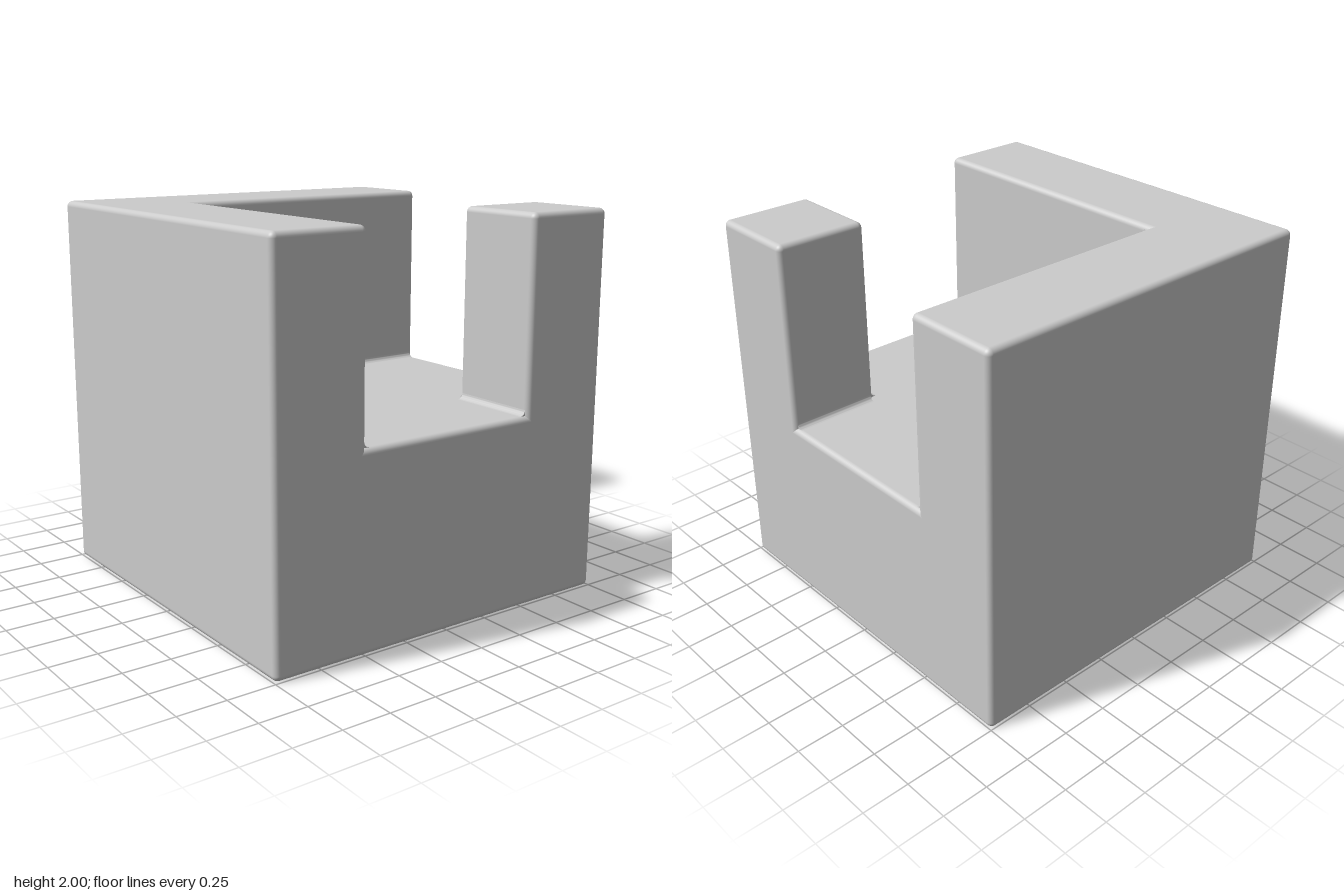
import * as THREE from 'three';
import { RoundedBoxGeometry } from 'three/addons/geometries/RoundedBoxGeometry.js';
import { toCreasedNormals } from 'three/addons/utils/BufferGeometryUtils.js';

const R = 0.03; // softening radius of every edge
const material = new THREE.MeshStandardMaterial({ color: 0xcccccc });

// Rounded block given by its lowest and highest corners
function block(name, min, max) {
  const [w, h, d] = max.map((v, i) => v - min[i]);
  const mesh = new THREE.Mesh(new RoundedBoxGeometry(w, h, d, 4, R), material);
  mesh.position.set(...max.map((v, i) => (v + min[i]) / 2));
  mesh.name = name;
  return mesh;
}

// Concave strip filling an inner edge; u and v point away from the edge, along u x v
function fillet(name, start, u, v, length) {
  const shape = new THREE.Shape();
  shape.moveTo(0, 0);
  shape.lineTo(R, 0);
  shape.absarc(R, R, R, -Math.PI / 2, -Math.PI, true);
  shape.closePath();
  const geometry = toCreasedNormals(
    new THREE.ExtrudeGeometry(shape, { depth: length, bevelEnabled: false, curveSegments: 6 }), 0.6);
  const a = new THREE.Vector3(...u), b = new THREE.Vector3(...v);
  geometry.applyMatrix4(new THREE.Matrix4().makeBasis(a, b, a.clone().cross(b)).setPosition(...start));
  const mesh = new THREE.Mesh(geometry, material);
  mesh.name = name;
  return mesh;
}

export function createModel() {
  const model = new THREE.Group();
  model.name = 'notchedCube';
  model.add(
    // Lower half, the two walls of the corner and the free-standing post
    block('base', [-1, 0, -1], [1, 1, 1]),
    block('backWall', [-1, 0, -1], [1, 2, -0.5]),
    block('sideWall', [-1, 0, -1], [-0.5, 2, 1]),
    block('cornerPost', [0.5, 0, 0.5], [1, 2, 1]),
    // Soft inner edges
    fillet('sideWallFillet', [-0.5, 1, -0.5], [1, 0, 0], [0, 1, 0], 1.48),
    fillet('backWallFillet', [-0.5, 1, -0.5], [0, 1, 0], [0, 0, 1], 1.48),
    fillet('innerCornerFillet', [-0.5, 1, -0.5], [0, 0, 1], [1, 0, 0], 0.98),
    fillet('postSideFillet', [0.5, 1, 0.52], [0, 1, 0], [-1, 0, 0], 0.46),
    fillet('postBackFillet', [0.52, 1, 0.5], [0, 0, -1], [0, 1, 0], 0.46),
  );
  return model;
}
